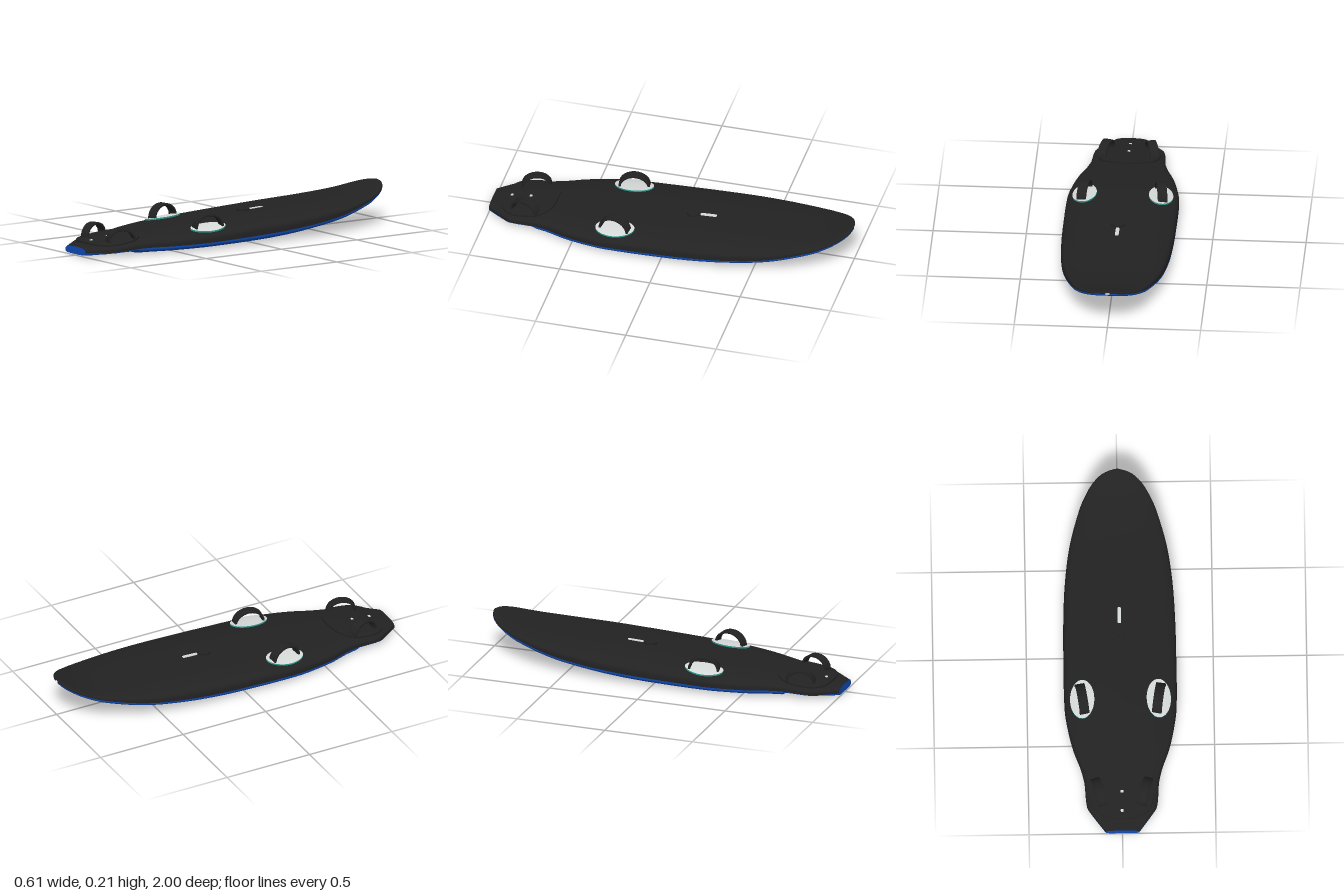
import * as THREE from 'three';

const mat = (name, color, side = THREE.FrontSide) =>
  Object.assign(new THREE.MeshStandardMaterial({ color, side }), { name });

// Stations along the board: z, half width, bottom y, rail seam y, deck y
const ROWS = [
  [-1, 0.012, 0.2, 0.205, 0.212], [-0.99, 0.05, 0.19, 0.2, 0.212], [-0.97, 0.09, 0.178, 0.19, 0.207],
  [-0.93, 0.132, 0.158, 0.174, 0.195], [-0.88, 0.165, 0.136, 0.157, 0.181], [-0.8, 0.203, 0.109, 0.135, 0.166],
  [-0.6, 0.26, 0.066, 0.094, 0.152], [-0.4, 0.288, 0.04, 0.07, 0.145], [-0.2, 0.299, 0.02, 0.055, 0.137],
  [0, 0.302, 0.01, 0.047, 0.128], [0.3, 0.3, 0.006, 0.04, 0.112], [0.42, 0.284, 0.005, 0.038, 0.104],
  [0.54, 0.256, 0.004, 0.036, 0.096], [0.64, 0.22, 0.004, 0.035, 0.089], [0.71, 0.202, 0.004, 0.033, 0.083],
  [0.74, 0.198, 0.004, 0.032, 0.08], [0.86, 0.187, 0.004, 0.026, 0.066], [0.9, 0.163, 0.004, 0.023, 0.061],
  [1, 0.09, 0.006, 0.02, 0.047],
];

// Smooth interpolation of the station table
function station(z) {
  const n = ROWS.length;
  let k = 0;
  while (k < n - 2 && z > ROWS[k + 1][0]) k++;
  const A = ROWS[k], B = ROWS[k + 1], h = B[0] - A[0], t = (z - A[0]) / h;
  const slope = (i, c) => {
    const p = ROWS[Math.max(i - 1, 0)], q = ROWS[Math.min(i + 1, n - 1)];
    return (q[c] - p[c]) / (q[0] - p[0]);
  };
  const mix = (c) => {
    const m0 = slope(k, c) * h, m1 = slope(k + 1, c) * h, t2 = t * t, t3 = t2 * t;
    return (2 * t3 - 3 * t2 + 1) * A[c] + (t3 - 2 * t2 + t) * m0 + (3 * t2 - 2 * t3) * B[c] + (t3 - t2) * m1;
  };
  return { w: mix(1), yb: mix(2), ys: mix(3), yt: mix(4) };
}

const stationZ = [];
for (let i = 0; i < ROWS.length - 1; i++)
  for (let s = 0; s < 4; s++) stationZ.push(THREE.MathUtils.lerp(ROWS[i][0], ROWS[i + 1][0], s / 4));
stationZ.push(1);

// Height of the domed deck at any point
function deckY(x, z) {
  const { w, ys, yt } = station(z);
  const u = Math.min(Math.abs(x) / w, 1);
  return ys + (yt - ys) * Math.pow(1 - Math.pow(u, 2.3), 0.25);
}

// Surface from a grid of points
function grid(ni, nj, fn, flip) {
  const pos = [], idx = [];
  for (let i = 0; i <= ni; i++) for (let j = 0; j <= nj; j++) pos.push(...fn(i, j));
  for (let i = 0; i < ni; i++)
    for (let j = 0; j < nj; j++) {
      const a = i * (nj + 1) + j, c = a + 1, b = a + nj + 1, d = b + 1;
      if (flip) idx.push(a, c, b, b, c, d);
      else idx.push(a, b, c, c, b, d);
    }
  const g = new THREE.BufferGeometry();
  g.setAttribute('position', new THREE.Float32BufferAttribute(pos, 3));
  g.setIndex(idx);
  g.computeVertexNormals();
  return g;
}

const signedPow = (v, p) => Math.sign(v) * Math.pow(Math.abs(v), p);
const SIDES = 48;

function deckPoint(i, j) {
  const z = stationZ[i], { w, ys, yt } = station(z), a = (Math.PI * j) / SIDES;
  const v = Math.sqrt(Math.max(Math.sin(a), 0));
  return [w * signedPow(Math.cos(a), 2 / 2.3), ys + (yt - ys) * (j % SIDES ? v : 0), z];
}

// Underside, with raised cutouts beside the tail
function bottomPoint(i, j) {
  const z = stationZ[i], { w, yb, ys } = station(z), a = (Math.PI * j) / SIDES;
  const u = signedPow(Math.cos(a), 1 / 3);
  const v = j % SIDES ? Math.pow(Math.sin(a), 2 / 3) : 0;
  const cut = THREE.MathUtils.smoothstep(z, 0.71, 0.735) * (1 - THREE.MathUtils.smoothstep(z, 0.88, 1));
  const raise = 0.6 * cut * THREE.MathUtils.smoothstep(Math.abs(u), 0.5, 0.62);
  return [w * u, ys - (ys - yb) * v * (1 - raise), z];
}

export function createModel() {
  const model = new THREE.Group();
  const black = mat('black', 0x222222);
  const blue = mat('blue', 0x0f4cb8);
  const white = mat('white', 0xd6dad9);
  const teal = mat('teal', 0x2a9d8f);

  const add = (name, geo, material, parent = model) => {
    const m = new THREE.Mesh(geo, material);
    m.name = name;
    parent.add(m);
    return m;
  };

  // Rounded plate that follows the deck, with a skirt around its edge
  function drape(name, cx, cz, rx, rz, power, lift, top, rim) {
    const g = new THREE.Group();
    g.name = name;
    const at = (r, j, h) => {
      const a = (j / 48) * Math.PI * 2;
      const x = cx + r * rx * signedPow(Math.cos(a), 2 / power);
      const z = cz + r * rz * signedPow(Math.sin(a), 2 / power);
      return [x, deckY(x, z) + h, z];
    };
    add(name + 'Top', grid(8, 48, (i, j) => at(i / 8, j, lift), true), top, g);
    add(name + 'Rim', grid(1, 48, (i, j) => at(1, j, i ? -0.002 : lift), true), rim, g);
    model.add(g);
  }

  // Arched foot strap running along the board
  function strap(name, x, y, z, rx, ry, width, turn) {
    const t = 0.013, s = new THREE.Shape();
    s.moveTo(rx, -0.015);
    s.lineTo(rx, 0);
    s.absellipse(0, 0, rx, ry, 0, Math.PI, false);
    s.lineTo(-rx, -0.015);
    s.lineTo(-rx + t, -0.015);
    s.absellipse(0, 0, rx - t, ry - t, Math.PI, 0, true);
    s.lineTo(rx - t, -0.015);
    const g = new THREE.ExtrudeGeometry(s, {
      depth: width - 0.008, curveSegments: 20, bevelThickness: 0.004, bevelSize: 0.003, bevelOffset: -0.003, bevelSegments: 2,
    });
    g.translate(0, 0, -(width - 0.008) / 2).rotateY(Math.PI / 2);
    const m = add(name, g, black);
    m.position.set(x, y, z);
    m.rotation.y = turn;
  }

  // Hull
  const n = stationZ.length - 1;
  add('deck', grid(n, SIDES, deckPoint, true), black);
  add('underside', grid(n, SIDES, bottomPoint, false), blue);

  // Flat tail end
  const end = new THREE.Shape();
  for (let j = 0; j <= SIDES; j++) {
    const [x, y] = deckPoint(n, j);
    j ? end.lineTo(x, y) : end.moveTo(x, y);
  }
  for (let j = SIDES - 1; j > 0; j--) {
    const [x, y] = bottomPoint(n, j);
    end.lineTo(x, y);
  }
  add('tailEnd', new THREE.ShapeGeometry(end).translate(0, 0, 1), blue);

  // Tail pad with two vent screws
  drape('tailPad', 0, 0.788, 0.17, 0.148, 2.6, 0.009, black, black);
  for (const z of [0.79, 0.895]) drape('ventScrew', 0, z, 0.008, 0.007, 4, 0.012, white, white);

  // Foot pads and straps, mirrored
  for (const s of [-1, 1]) {
    const side = s > 0 ? 'left' : 'right';
    drape(side + 'FootPad', s * 0.205, 0.272, 0.065, 0.107, 2, 0.008, white, teal);
    strap(side + 'FrontStrap', s * 0.206, 0.108, 0.272, 0.085, 0.074, 0.052, -s * 0.16);
    strap(side + 'RearStrap', s * 0.124, 0.076, 0.79, 0.08, 0.066, 0.048, -s * 0.28);
  }

  // Mast track slot and round cap
  drape('mastSlot', 0, -0.193, 0.01, 0.045, 6, 0.003, white, white);
  drape('mastCap', 0, -0.11, 0.035, 0.035, 2, 0.01, black, black);

  // Fin box under the tail
  add('finBox', new THREE.BoxGeometry(0.03, 0.008, 0.15), black).position.set(0, 0.004, 0.81);

  return model;
}
